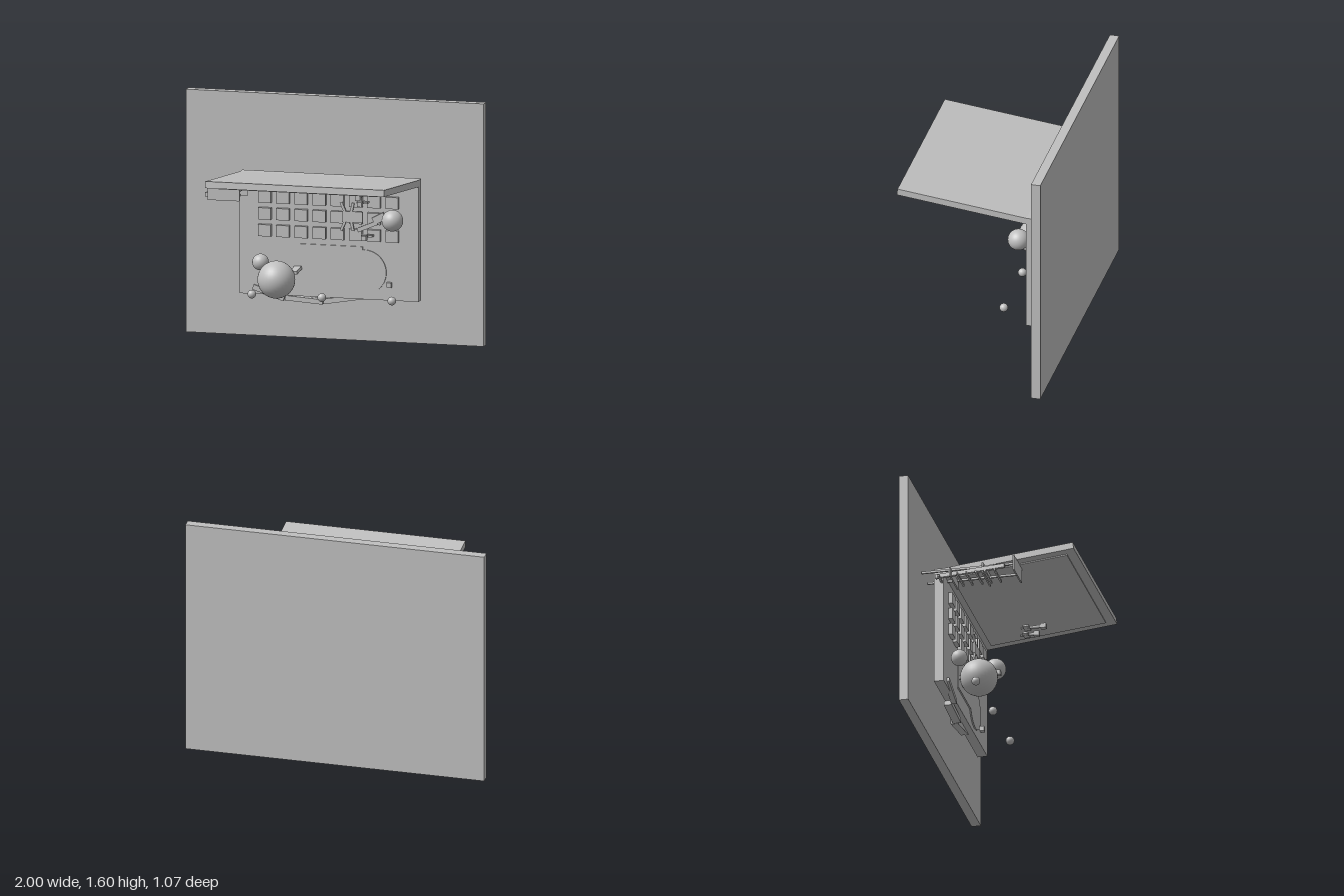
import * as THREE from 'three';

export function createModel() {
  const root = new THREE.Group();
  const grey = new THREE.MeshStandardMaterial({ color: 0xc0c0c0 });
  grey.name = 'plain grey';

  const add = (name, geo, x, y, z, parent = root) => {
    const m = new THREE.Mesh(geo, grey);
    m.name = name;
    m.position.set(x, y, z);
    parent.add(m);
    return m;
  };
  const box = (name, w, h, d, x, y, z, parent) => add(name, new THREE.BoxGeometry(w, h, d), x, y, z, parent);
  const ball = (name, r, x, y, z) => add(name, new THREE.SphereGeometry(r, 32, 20), x, y, z);
  // box given by its limits
  const span = (name, x0, x1, y0, y1, z0, z1) =>
    box(name, x1 - x0, y1 - y0, z1 - z0, (x0 + x1) / 2, (y0 + y1) / 2, (z0 + z1) / 2);
  // square bar between two points in the xy plane
  const bar = (name, ax, ay, bx, by, h, z, d) => {
    const m = box(name, Math.hypot(bx - ax, by - ay), h, d, (ax + bx) / 2, (ay + by) / 2, z);
    m.rotation.z = Math.atan2(by - ay, bx - ax);
    return m;
  };

  // wall and upright panel
  span('wall', -1, 1, 0, 1.6, -0.535, -0.473);
  span('panel', -0.6, 0.6, 0.3, 1.102, -0.398, -0.333);

  // tilted lid with a thin inset plate underneath
  const lid = new THREE.Group();
  lid.name = 'lid';
  lid.position.set(0, 1.08, -0.335);
  lid.rotation.x = -0.105;
  root.add(lid);
  box('lidBoard', 1.2, 0.044, 0.87, 0, 0, 0.435, lid);
  box('lidInset', 1.07, 0.008, 0.77, 0, -0.026, 0.425, lid);

  // three rows of square keys
  for (const y of [0.947, 0.837, 0.726])
    for (let i = 0; i < 8; i++) box('key', 0.086, 0.077, 0.028, -0.428 + i * 0.1222, y, -0.319);

  // flat plate with a round end
  span('plate', -0.225, 0.228, 0.417, 0.647, -0.335, -0.324);
  const disc = add('plateDisc', new THREE.CylinderGeometry(0.145, 0.145, 0.011, 48), 0.24, 0.482, -0.3295);
  disc.rotation.x = Math.PI / 2;

  // balls
  ball('largeBall', 0.123, -0.31, 0.433, -0.168);
  ball('sideBall', 0.054, -0.443, 0.525, -0.267);
  ball('upperBall', 0.07, 0.449, 0.845, -0.243);
  for (const x of [-0.47, 0, 0.47]) ball('smallBall', 0.028, x, 0.333, -0.15);

  // button in front, prongs behind
  box('button', 0.032, 0.032, 0.03, 0.407, 0.405, -0.32);
  for (const x of [0.395, 0.417]) box('prong', 0.012, 0.014, 0.06, x, 0.405, -0.42);

  // segmented strap sagging under the panel
  bar('strap', -0.508, 0.348, -0.3, 0.28, 0.034, -0.335, 0.034);
  bar('strap', -0.3, 0.28, -0.05, 0.263, 0.032, -0.378, 0.052);
  bar('strap', -0.05, 0.263, 0.235, 0.312, 0.034, -0.396, 0.048);

  // flat figure lying on the keys: body, four limbs and an arm to the ball
  box('figureBody', 0.14, 0.072, 0.012, 0.166, 0.846, -0.299);
  for (const sx of [-1, 1])
    for (const sy of [-1, 1])
      bar('figureLimb', 0.115 + (sx + 1) * 0.022, 0.846 + sy * 0.034,
        0.09 + (sx + 1) * 0.04, 0.846 + sy * 0.092, 0.017, -0.299, 0.012);
  bar('figureArm', 0.2, 0.76, 0.33, 0.815, 0.028, -0.299, 0.012);
  bar('figureHand', 0.31, 0.825, 0.385, 0.865, 0.05, -0.295, 0.02);

  // small pegs: block head, tapering stem, cross arms
  const peg = (x, y, z, len) => {
    const g = new THREE.Group();
    g.name = 'peg';
    g.position.set(x, y, z);
    root.add(g);
    box('pegHead', 0.032, 0.032, 0.038, 0, 0, -0.019, g);
    const stem = add('pegStem', new THREE.CylinderGeometry(0.012, 0.006, len - 0.038, 8), 0, 0, -0.019 - len / 2, g);
    stem.rotation.x = Math.PI / 2;
    box('pegArms', 0.075, 0.012, 0.04, 0, 0, -len + 0.04, g);
  };
  peg(0.315, 1.053, 0.13, 0.17);
  peg(0.315, 1.003, 0.085, 0.13);
  peg(0.275, 0.733, -0.165, 0.14);
  const stub = bar('stub', -0.23, 0.48, -0.18, 0.485, 0.022, -0.26, 0.12);
  stub.rotation.x = 0.12;

  // side rack: two rails, cross plates, rungs and a slanted bar
  for (const x of [-0.662, -0.495]) span('rackRail', x - 0.006, x + 0.006, 1.046, 1.06, -0.465, 0.155);
  span('rackFront', -0.685, -0.47, 1.0, 1.105, 0.148, 0.157);
  span('rackMiddle', -0.685, -0.47, 1.0, 1.075, -0.06, -0.05);
  span('rackBack', -0.685, -0.47, 1.0, 1.06, -0.276, -0.266);
  for (const z of [-0.345, -0.22, -0.16, -0.095, -0.035, 0.03])
    box('rackRung', 0.19, 0.014, 0.012, -0.61, 1.004, z);
  const slant = box('rackBar', 0.02, 0.026, 0.48, -0.675, 1.024, -0.14);
  slant.rotation.y = -0.135;

  return root;
}
